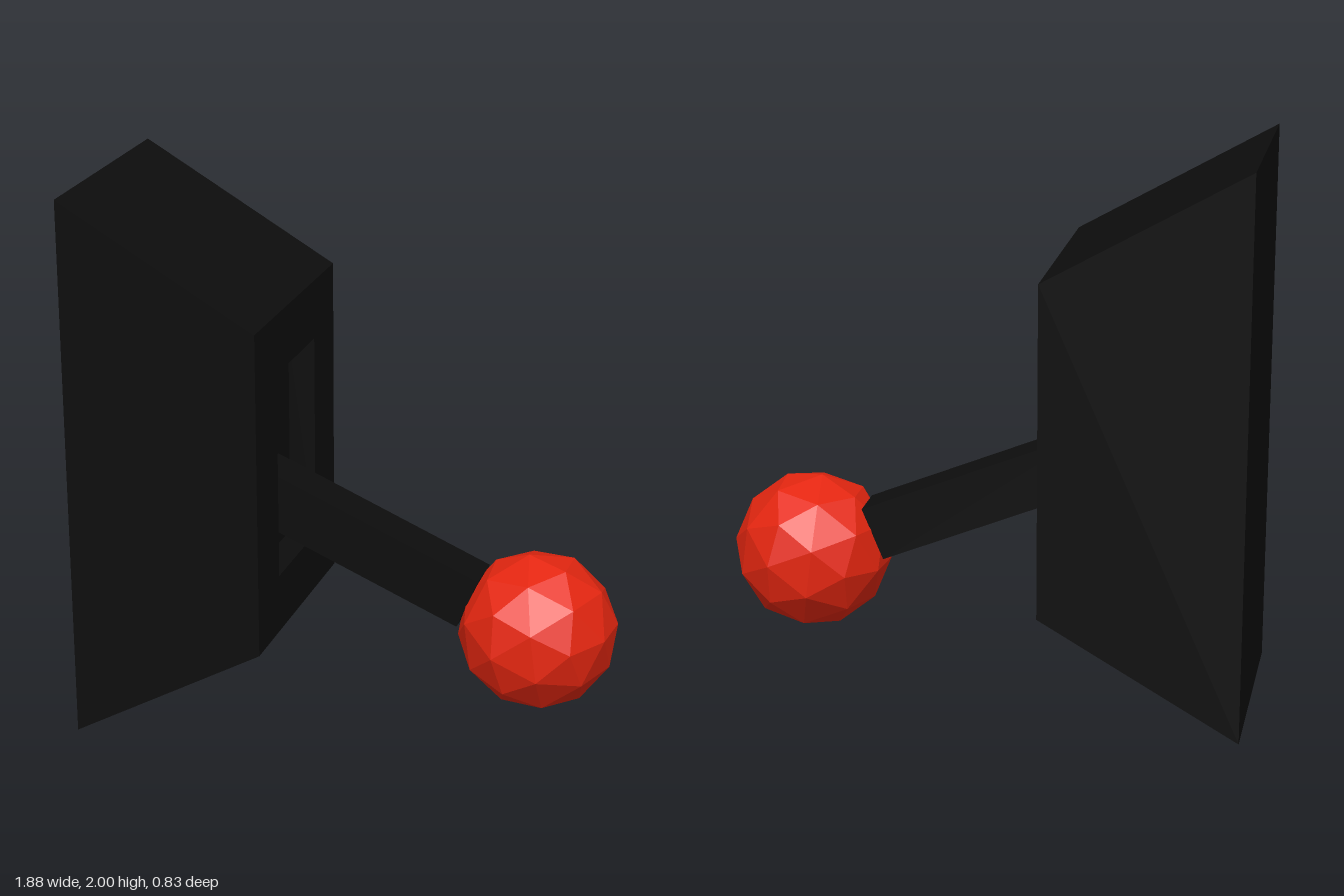
import * as THREE from 'three';

const black = new THREE.MeshStandardMaterial({ color: 0x0d0d0d });
black.name = 'matte black';
const red = new THREE.MeshStandardMaterial({ color: 0xe42610 });
red.name = 'bright red';

// Tapered block with a pocket, joined from rectangular rings along x
function housingGeometry() {
  const ring = (x, halfHeight, halfDepth) =>
    [[-1, 1], [-1, -1], [1, -1], [1, 1]].map(([sy, sz]) => [x, 1 + sy * halfHeight, sz * halfDepth]);
  const rings = [
    ring(-0.945, 1, 0.415),     // wall side
    ring(-0.237, 0.595, 0.415), // outer rim
    ring(-0.237, 0.38, 0.2),    // pocket edge
    ring(-0.335, 0.38, 0.2),    // pocket floor
  ];
  const positions = [];
  const quad = (a, b, c, d) => positions.push(...a, ...b, ...c, ...a, ...c, ...d);
  for (let i = 0; i < rings.length - 1; i++) {
    for (let j = 0; j < 4; j++) {
      const k = (j + 1) % 4;
      quad(rings[i][j], rings[i][k], rings[i + 1][k], rings[i + 1][j]);
    }
  }
  quad(...rings[3]);
  quad(...[...rings[0]].reverse());
  const geometry = new THREE.BufferGeometry();
  geometry.setAttribute('position', new THREE.Float32BufferAttribute(positions, 3));
  geometry.computeVertexNormals();
  return geometry;
}

// Faceted ball, turned so one icosahedron face points forward
function knobGeometry(radius) {
  const geometry = new THREE.IcosahedronGeometry(radius, 1);
  const zAxis = new THREE.Vector3(1, 1, 1).normalize();
  const xAxis = new THREE.Vector3(1, (1 + Math.sqrt(5)) / 2, 0).projectOnPlane(zAxis).normalize();
  const yAxis = new THREE.Vector3().crossVectors(zAxis, xAxis);
  geometry.applyMatrix4(new THREE.Matrix4().makeBasis(xAxis, yAxis, zAxis).invert());
  geometry.rotateZ(THREE.MathUtils.degToRad(7.5));
  geometry.computeVertexNormals();
  return geometry;
}

export function createModel() {
  const model = new THREE.Group();
  model.name = 'wallLever';
  const add = (name, geometry, material, x = 0, y = 0, z = 0) => {
    const mesh = new THREE.Mesh(geometry, material);
    mesh.name = name;
    mesh.position.set(x, y, z);
    model.add(mesh);
    return mesh;
  };

  add('housing', housingGeometry(), black);

  // Arm slopes down out of the pocket
  const arm = add('leverArm', new THREE.BoxGeometry(0.89, 0.2, 0.156), black, 0.011, 0.72, 0);
  arm.rotation.z = THREE.MathUtils.degToRad(-22.5);

  add('knob', knobGeometry(0.285), red, 0.661, 0.455, 0);
  return model;
}
